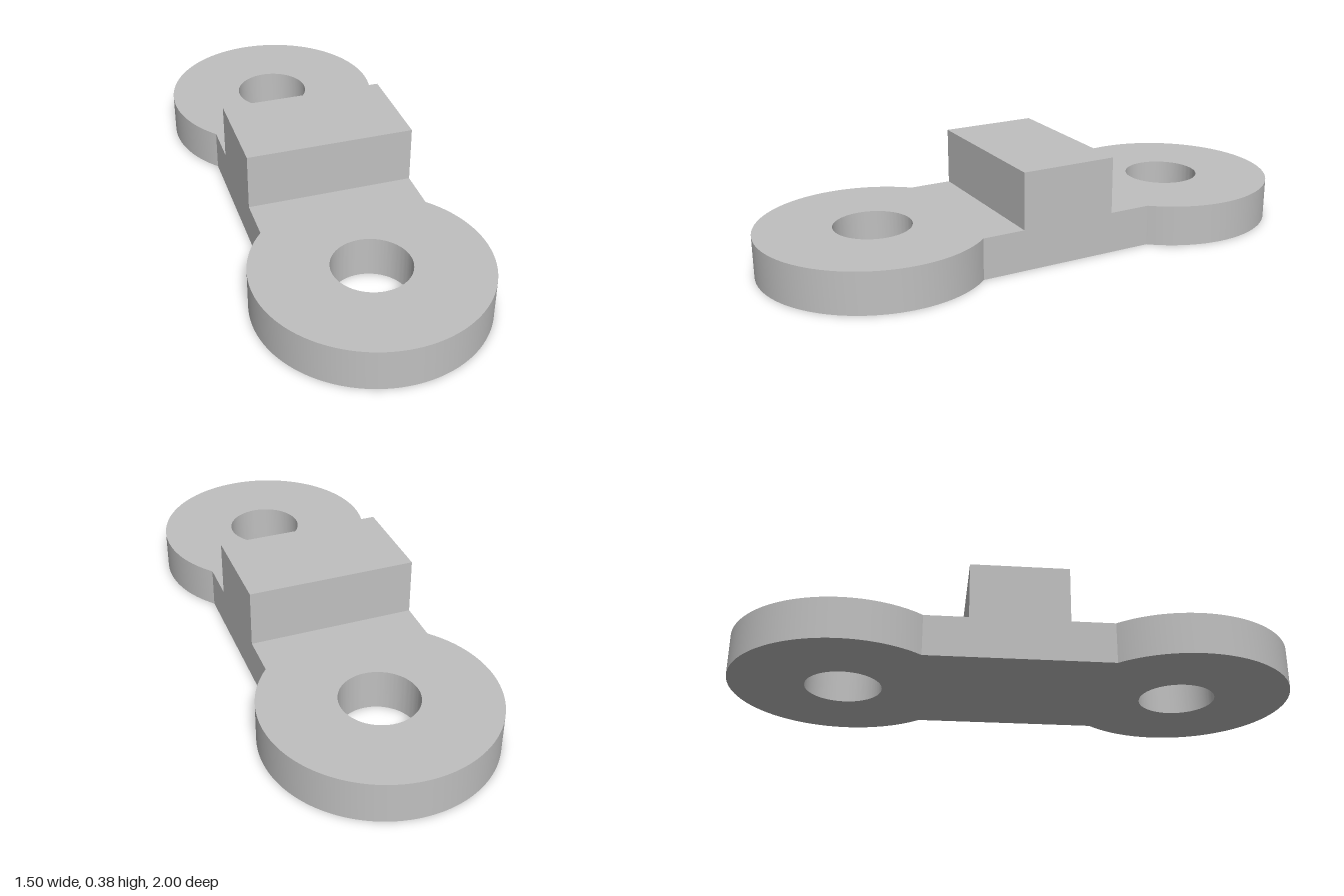
import * as THREE from 'three';
import { toCreasedNormals } from 'three/addons/utils/BufferGeometryUtils.js';

export function createModel() {
  const model = new THREE.Group();
  model.name = 'linkPlate';
  const metal = new THREE.MeshStandardMaterial({ color: 0xc0c0c0 });
  metal.name = 'light grey metal';

  const reach = 0.648;      // centre to each eye
  const eyeRadius = 0.435;
  const holeRadius = 0.147;
  const halfWidth = 0.322;  // of the bar between the eyes
  const plateHeight = 0.16;
  const blockTop = 0.38;

  // Plate outline: two round eyes joined by a straight bar
  const joint = Math.asin(halfWidth / eyeRadius);
  const outline = new THREE.Shape();
  outline.absarc(reach, 0, eyeRadius, -Math.PI + joint, Math.PI - joint, false);
  outline.absarc(-reach, 0, eyeRadius, joint, 2 * Math.PI - joint, false);
  outline.closePath();
  for (const side of [1, -1]) {
    const hole = new THREE.Path();
    hole.absarc(side * reach, 0, holeRadius, 0, 2 * Math.PI, true);
    outline.holes.push(hole);
  }
  const plateGeometry = new THREE.ExtrudeGeometry(outline, {
    depth: plateHeight, bevelEnabled: false, curveSegments: 64,
  });
  plateGeometry.rotateX(-Math.PI / 2);
  const plate = new THREE.Mesh(toCreasedNormals(plateGeometry, 0.5), metal);
  plate.name = 'plate';

  // Raised block across the middle of the bar
  const blockHeight = blockTop - plateHeight;
  const block = new THREE.Mesh(
    new THREE.BoxGeometry(0.377, blockHeight, 2 * halfWidth), metal);
  block.name = 'centreBlock';
  block.position.y = plateHeight + blockHeight / 2;

  // The whole link lies diagonally on the ground
  const link = new THREE.Group();
  link.name = 'link';
  link.add(plate, block);
  link.rotation.y = Math.atan2(0.565, 0.317);
  model.add(link);
  return model;
}
